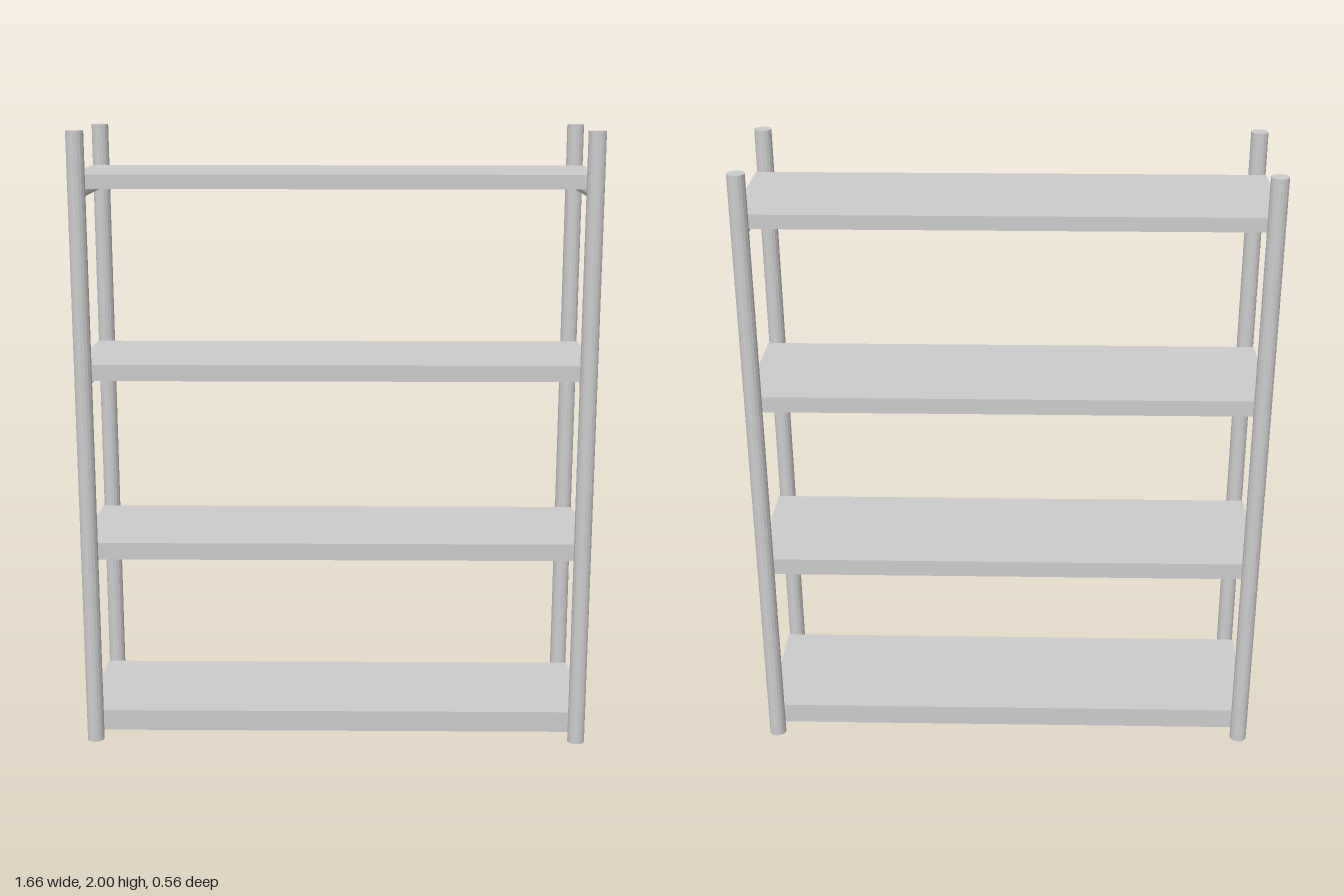
import * as THREE from 'three';

export function createModel() {
  const group = new THREE.Group();
  group.name = 'shelvingUnit';
  const material = new THREE.MeshStandardMaterial({ color: 0xcccccc, flatShading: true });

  const add = (name, geometry, x, y, z) => {
    const mesh = new THREE.Mesh(geometry, material);
    mesh.name = name;
    mesh.position.set(x, y, z);
    group.add(mesh);
  };

  const postX = 0.8, postZ = 0.252;

  // Four round corner posts
  const postGeometry = new THREE.CylinderGeometry(0.028, 0.028, 2, 16);
  for (const x of [-postX, postX])
    for (const z of [-postZ, postZ])
      add(`${z > 0 ? 'front' : 'back'}${x > 0 ? 'Left' : 'Right'}Post`, postGeometry, x, 1, z);

  // Shelf boards, thinner towards the top: [bottom, top]
  const shelves = [[0.02, 0.09], [0.618, 0.674], [1.213, 1.265], [1.82, 1.865]];
  shelves.forEach(([bottom, top], i) => {
    add(`shelf${i + 1}`, new THREE.BoxGeometry(1.654, top - bottom, 0.45), 0, (bottom + top) / 2, 0);
  });

  // Round cross rails joining the posts under the upper three shelves
  const railGeometry = new THREE.CylinderGeometry(0.018, 0.018, 2 * postZ, 16).rotateX(Math.PI / 2);
  [0.607, 1.206, 1.807].forEach((y, i) => {
    for (const x of [-postX, postX])
      add(`${x > 0 ? 'left' : 'right'}Rail${i + 1}`, railGeometry, x, y, 0);
  });

  return group;
}
